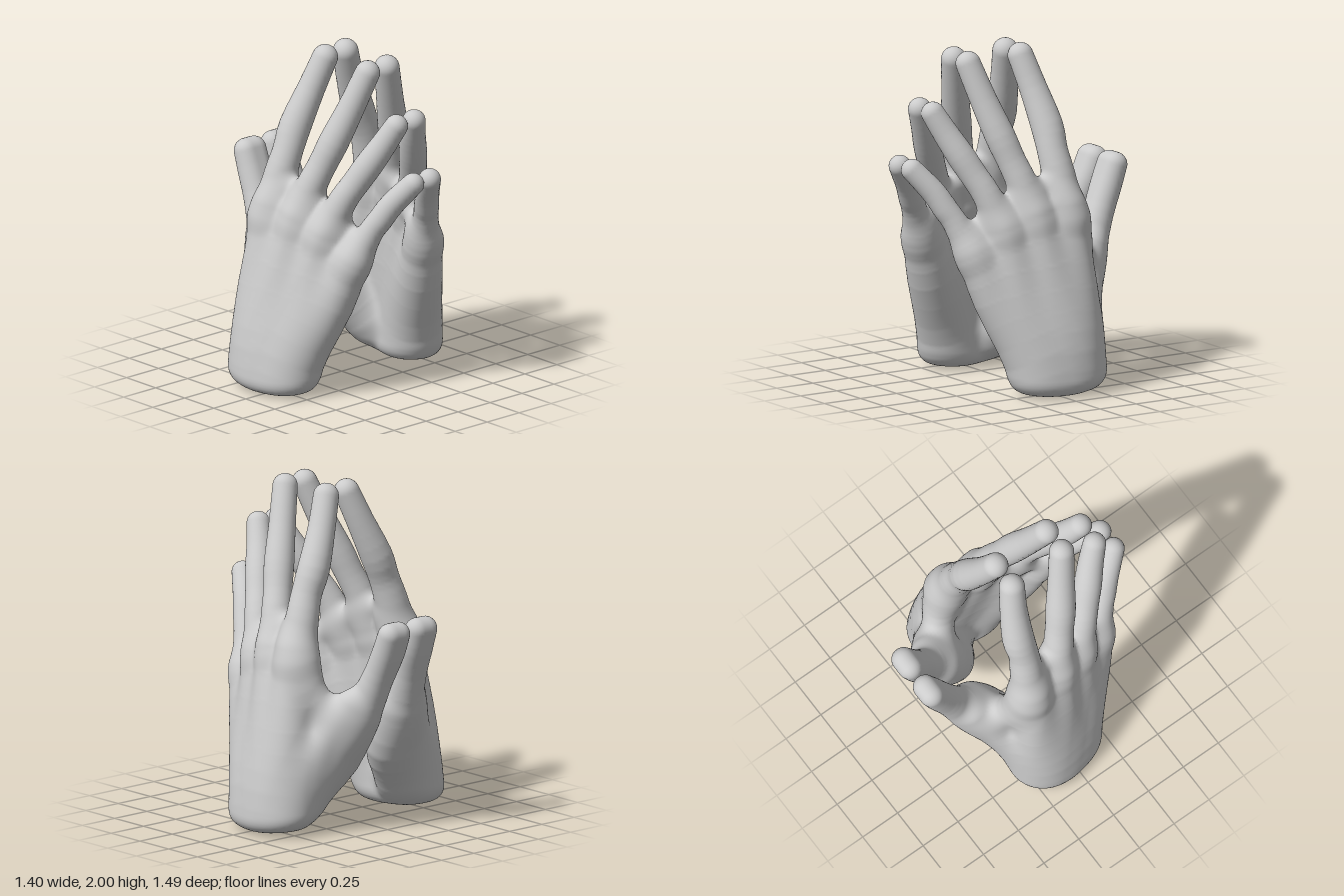
import * as THREE from 'three';

// Bones of the left hand: chains of [x, y, z, radius, extra half width along x].
// Each is smoothed into a curve, and flesh is blended around it.
const smoothChain = (points) => {
  const path = new THREE.CatmullRomCurve3(points.map((p) => new THREE.Vector3(p[0], p[1], p[2])), false, 'catmullrom');
  const girth = new THREE.CatmullRomCurve3(points.map((p) => new THREE.Vector3(p[3], p[4] ?? 0, 0)), false, 'catmullrom');
  const count = (points.length - 1) * 3;
  return Array.from({ length: count + 1 }, (_, i) => {
    const p = path.getPoint(i / count), g = girth.getPoint(i / count);
    return [p.x, p.y, p.z, g.x, Math.max(0, g.y)];
  });
};

const PALM = [
  // metacarpals from wrist to knuckle: index, middle, ring, little
  [[0.52, -0.05, -0.17, 0.16], [0.51, 0.25, -0.165, 0.155], [0.465, 0.6, -0.17, 0.14], [0.405, 1.08, -0.15, 0.102]],
  [[0.53, -0.05, -0.08, 0.162], [0.515, 0.25, -0.06, 0.158], [0.455, 0.6, -0.02, 0.142], [0.385, 1.05, 0.05, 0.1]],
  [[0.5, -0.05, 0, 0.17], [0.48, 0.25, 0.06, 0.155], [0.405, 0.6, 0.155, 0.132], [0.345, 0.98, 0.23, 0.095]],
  [[0.49, -0.05, 0.09, 0.16], [0.455, 0.2, 0.125, 0.15], [0.345, 0.57, 0.29, 0.133], [0.28, 0.84, 0.395, 0.108]],
  // ball of the thumb, and the thumb's metacarpal along the back of the hand
  [[0.33, 0.22, -0.18, 0.11], [0.2, 0.44, -0.29, 0.137], [0.162, 0.68, -0.4, 0.128]],
  [[0.5, 0, -0.19, 0.115], [0.42, 0.35, -0.26, 0.105], [0.33, 0.6, -0.36, 0.08], [0.24, 0.78, -0.44, 0.07]],
  // web between thumb and index finger
  [[0.2, 0.6, -0.36, 0.09], [0.35, 0.8, -0.27, 0.08], [0.39, 1, -0.2, 0.09]],
  // webs between the fingers
  [[0.35, 1.17, -0.1, 0.055], [0.34, 1.2, -0.03, 0.05], [0.315, 1.15, 0.1, 0.055],
    [0.29, 1.09, 0.205, 0.048], [0.26, 1.02, 0.31, 0.048], [0.235, 0.95, 0.395, 0.042]],
].map(smoothChain);

const THUMB = smoothChain([[0.4, 0.15, -0.18, 0.12], [0.25, 0.5, -0.33, 0.125], [0.165, 0.72, -0.455, 0.112],
  [0.13, 0.93, -0.555, 0.085, 0.012], [0.11, 1.09, -0.625, 0.078, 0.025], [0.105, 1.215, -0.673, 0.072, 0.03]]);

const FINGERS = [
  // index, middle, ring, little
  [[0.41, 1, -0.165, 0.108], [0.345, 1.25, -0.145, 0.097], [0.3, 1.39, -0.132, 0.089],
    [0.243, 1.53, -0.13, 0.094], [0.152, 1.74, -0.095, 0.081], [0.08, 1.925, -0.055, 0.075]],
  [[0.385, 1, 0.04, 0.102], [0.33, 1.22, 0.095, 0.09], [0.28, 1.36, 0.14, 0.084],
    [0.23, 1.5, 0.185, 0.088], [0.153, 1.7, 0.245, 0.079], [0.076, 1.917, 0.305, 0.073]],
  [[0.345, 0.95, 0.22, 0.098], [0.275, 1.18, 0.31, 0.083], [0.225, 1.29, 0.365, 0.08],
    [0.175, 1.4, 0.42, 0.082], [0.115, 1.53, 0.485, 0.075], [0.069, 1.65, 0.545, 0.068]],
  [[0.28, 0.82, 0.395, 0.1], [0.215, 1.02, 0.485, 0.074], [0.18, 1.1, 0.53, 0.073],
    [0.135, 1.2, 0.585, 0.071], [0.065, 1.33, 0.685, 0.065]],
].map(smoothChain);

const DIGITS = [THUMB, ...FINGERS];
const PART_NAMES = ['palm', 'thumb', 'indexFinger', 'middleFinger', 'ringFinger', 'littleFinger'];

// Smooth minimum: joins two distances with a fillet of size k
function blend(a, b, k) {
  const h = Math.max(k - Math.abs(a - b), 0) / k;
  return Math.min(a, b) - h * h * k * 0.25;
}

// Distance to one tapered bone
function boneDistance(x, y, z, a, b) {
  const dx = b[0] - a[0], dy = b[1] - a[1], dz = b[2] - a[2];
  const px = x - a[0], py = y - a[1], pz = z - a[2];
  const dot = (px * dx + py * dy + pz * dz) / (dx * dx + dy * dy + dz * dz);
  const t = Math.min(1, Math.max(0, dot));
  const qx = Math.max(0, Math.abs(px - t * dx) - (a[4] + t * (b[4] - a[4])));
  const qy = py - t * dy, qz = pz - t * dz;
  return Math.sqrt(qx * qx + qy * qy + qz * qz) - (a[3] + t * (b[3] - a[3]));
}

function chainDistance(x, y, z, chain) {
  let d = 9;
  for (let i = 0; i < chain.length - 1; i++) {
    d = Math.min(d, boneDistance(x, y, z, chain[i], chain[i + 1]));
  }
  return d;
}

function palmDistance(x, y, z) {
  return PALM.reduce((d, chain) => blend(d, chainDistance(x, y, z, chain), 0.1), 9);
}

// Whole hand: fingers, then palm and thumb, then the gently rounded cut at the wrist
function handDistance(x, y, z) {
  let d = FINGERS.reduce((near, finger) => blend(near, chainDistance(x, y, z, finger), 0.025), 9);
  d = blend(d, palmDistance(x, y, z), 0.06);
  d = blend(d, chainDistance(x, y, z, THUMB), 0.07);
  const cut = 0.003 + 0.45 * ((x - 0.5) ** 2 + z * z) - y;
  return -blend(-d, -cut, 0.09);
}

function gradient([x, y, z]) {
  const e = 0.01;
  return [
    (handDistance(x + e, y, z) - handDistance(x - e, y, z)) / (2 * e),
    (handDistance(x, y + e, z) - handDistance(x, y - e, z)) / (2 * e),
    (handDistance(x, y, z + e) - handDistance(x, y, z - e)) / (2 * e),
  ];
}

// Which part of the hand a skin point belongs to
function partAt([x, y, z]) {
  const d = [palmDistance(x, y, z), ...DIGITS.map((chain) => chainDistance(x, y, z, chain))];
  return d.indexOf(Math.min(...d));
}

// Wraps a skin of quads around the hand on a regular grid, split into named parts
function buildSkin() {
  const step = 0.018, origin = [-0.06, -0.06, -0.82], size = [48, 120, 92];
  const stride = [1, size[0], size[0] * size[1]];
  const field = new Float32Array(size[0] * size[1] * size[2]).fill(1);
  const eachNode = (visit) => {
    for (let k = 1; k < size[2] - 1; k++)
      for (let j = 1; j < size[1] - 1; j++)
        for (let i = 1; i < size[0] - 1; i++) visit(i, j, k, i + j * stride[1] + k * stride[2]);
  };
  eachNode((i, j, k, n) => {
    field[n] = handDistance(origin[0] + i * step, origin[1] + j * step, origin[2] + k * step);
  });

  // one skin point per grid cell, pulled onto the surface
  const points = [], normals = [], cellPoint = new Map();
  const skinPoint = (n) => {
    if (cellPoint.has(n)) return cellPoint.get(n);
    const cell = [n % size[0], Math.floor(n / stride[1]) % size[1], Math.floor(n / stride[2])];
    const p = cell.map((c, a) => origin[a] + (c + 0.5) * step);
    for (let pass = 0; pass < 3; pass++) {
      const g = gradient(p), d = handDistance(...p);
      const s = d / Math.max(0.3, g[0] * g[0] + g[1] * g[1] + g[2] * g[2]);
      for (let a = 0; a < 3; a++) p[a] -= g[a] * s;
    }
    const g = gradient(p), len = Math.hypot(...g) || 1;
    points.push(...p);
    normals.push(...g.map((v) => v / len));
    cellPoint.set(n, points.length / 3 - 1);
    return points.length / 3 - 1;
  };

  // a quad across every grid edge that crosses the surface
  const faces = PART_NAMES.map(() => []);
  eachNode((i, j, k, n) => {
    for (let a = 0; a < 3; a++) {
      const inside = field[n] < 0;
      if (inside === field[n + stride[a]] < 0) continue;
      const sb = stride[(a + 1) % 3], sc = stride[(a + 2) % 3];
      const q = [n, n - sb, n - sb - sc, n - sc].map(skinPoint);
      if (!inside) q.reverse();
      const part = partAt(points.slice(q[0] * 3, q[0] * 3 + 3));
      faces[part].push(q[0], q[1], q[2], q[0], q[2], q[3]);
    }
  });
  return { points, normals, faces };
}

// One hand; side is 1 for the left hand, -1 for its mirror image
function buildHand(skin, side, material) {
  const hand = new THREE.Group();
  hand.name = side > 0 ? 'leftHand' : 'rightHand';
  const mirrored = (list) => list.map((v, i) => (i % 3 === 0 ? v * side : v));
  const position = new THREE.Float32BufferAttribute(mirrored(skin.points), 3);
  const normal = new THREE.Float32BufferAttribute(mirrored(skin.normals), 3);
  skin.faces.forEach((face, p) => {
    const geometry = new THREE.BufferGeometry();
    geometry.setAttribute('position', position);
    geometry.setAttribute('normal', normal);
    geometry.setIndex(side > 0 ? face : [...face].reverse());
    const mesh = new THREE.Mesh(geometry.toNonIndexed(), material);
    mesh.name = PART_NAMES[p];
    hand.add(mesh);
  });
  return hand;
}

export function createModel() {
  const model = new THREE.Group();
  model.name = 'prayingHands';
  const material = new THREE.MeshStandardMaterial({ color: 0xcccccc });
  const skin = buildSkin();
  model.add(buildHand(skin, 1, material), buildHand(skin, -1, material));
  return model;
}
